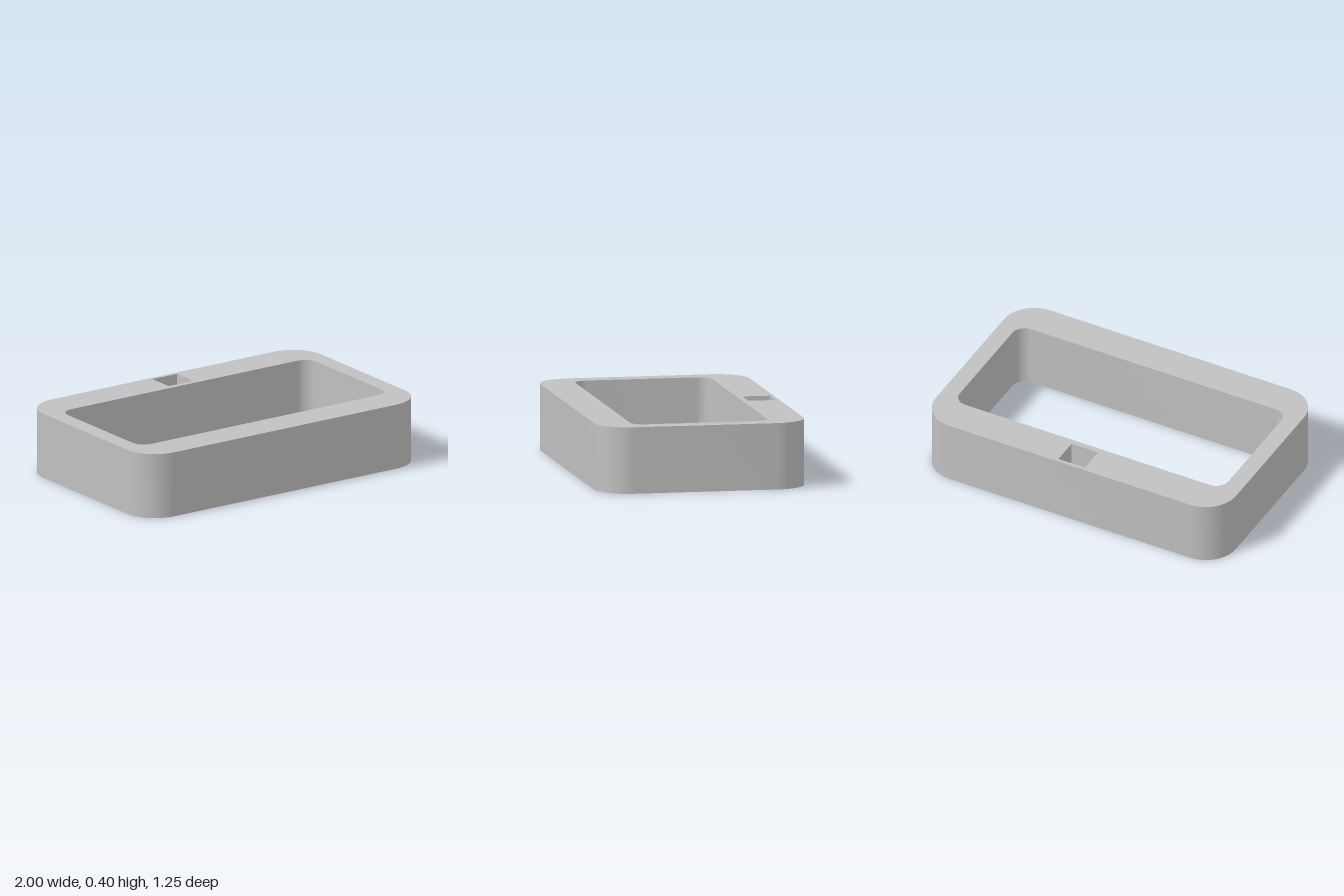
import * as THREE from 'three';
import { toCreasedNormals } from 'three/addons/utils/BufferGeometryUtils.js';

const HEIGHT = 0.395;

// Rectangle outline with rounded corners, added to a Shape or Path
function roundedRect(path, x0, y0, x1, y1, r) {
  path.moveTo(x0 + r, y0);
  path.lineTo(x1 - r, y0);
  path.absarc(x1 - r, y0 + r, r, -Math.PI / 2, 0, false);
  path.lineTo(x1, y1 - r);
  path.absarc(x1 - r, y1 - r, r, 0, Math.PI / 2, false);
  path.lineTo(x0 + r, y1);
  path.absarc(x0 + r, y1 - r, r, Math.PI / 2, Math.PI, false);
  path.lineTo(x0, y0 + r);
  path.absarc(x0 + r, y0 + r, r, Math.PI, Math.PI * 1.5, false);
  return path;
}

export function createModel() {
  const group = new THREE.Group();
  group.name = 'slottedFrame';
  const grey = new THREE.MeshStandardMaterial({ color: 0xc0c0c0 });
  grey.name = 'plain grey';

  // Outer wall (shape y becomes -z once laid flat)
  const outline = roundedRect(new THREE.Shape(), -1, -0.627, 1, 0.627, 0.2);

  // Large central opening
  outline.holes.push(roundedRect(new THREE.Path(), -0.895, -0.415, 0.895, 0.405, 0.08));

  // Small square through-slot in the back rail
  outline.holes.push(new THREE.Path([
    new THREE.Vector2(-0.088, 0.44),
    new THREE.Vector2(0.088, 0.44),
    new THREE.Vector2(0.088, 0.604),
    new THREE.Vector2(-0.088, 0.604),
  ]));

  const extruded = new THREE.ExtrudeGeometry(outline, {
    depth: HEIGHT, bevelEnabled: false, curveSegments: 16,
  });
  extruded.rotateX(-Math.PI / 2);

  const frame = new THREE.Mesh(toCreasedNormals(extruded, Math.PI / 6), grey);
  frame.name = 'frame';
  group.add(frame);
  return group;
}
